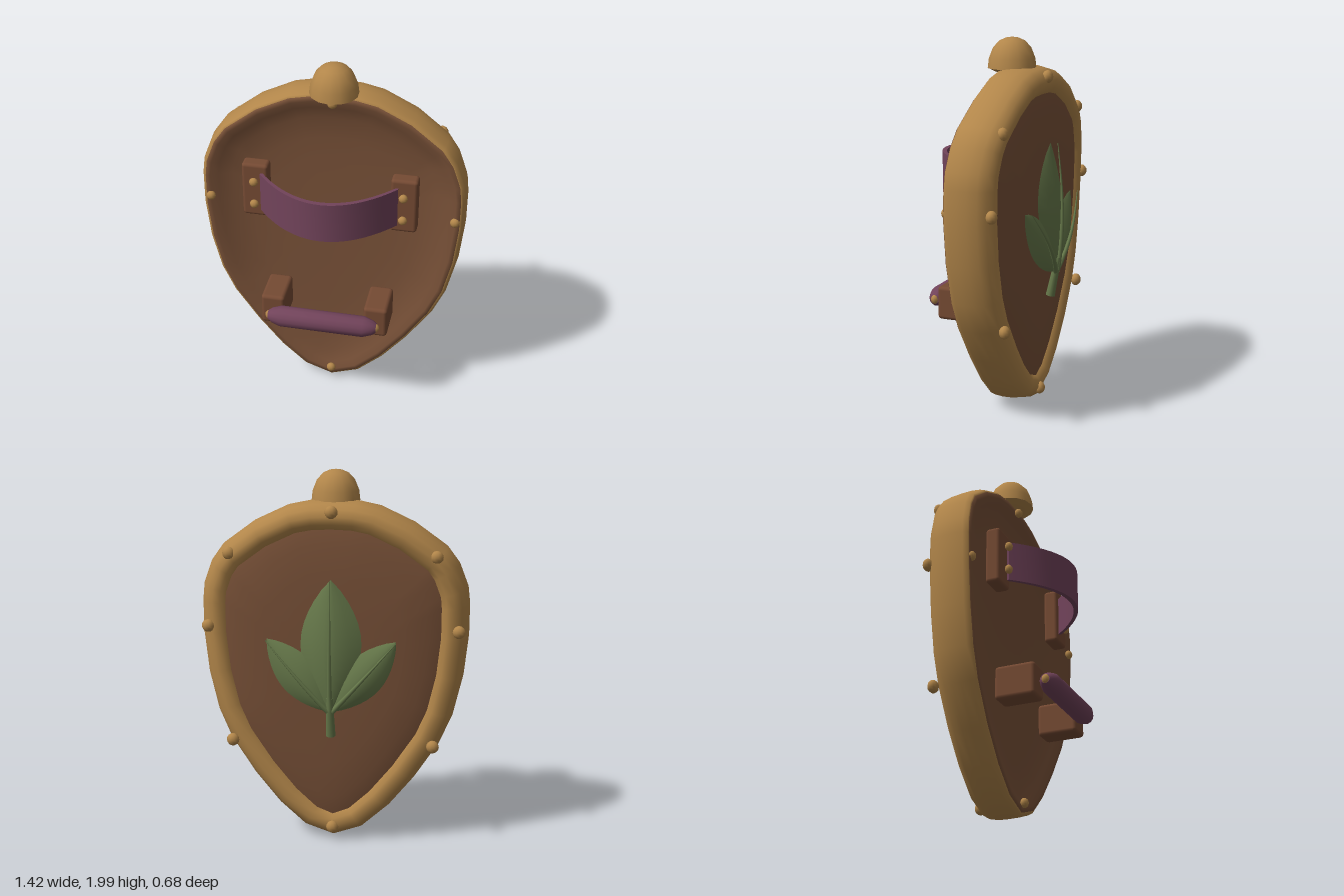
import * as THREE from 'three';
import { toCreasedNormals } from 'three/addons/utils/BufferGeometryUtils.js';
import { RoundedBoxGeometry } from 'three/addons/geometries/RoundedBoxGeometry.js';

const material = (name, color, side = THREE.FrontSide) =>
  Object.assign(new THREE.MeshStandardMaterial({ color, side }), { name });

// Surface through a list of rings (or open rows) of points
function loft(rings, closed = true) {
  const n = rings[0].length, index = [];
  for (let i = 0; i < rings.length - 1; i++) {
    for (let j = 0; j < (closed ? n : n - 1); j++) {
      const k = (j + 1) % n;
      const a = i * n + j, b = i * n + k, c = a + n, d = b + n;
      index.push(a, b, d, a, d, c);
    }
  }
  const geo = new THREE.BufferGeometry();
  geo.setAttribute('position', new THREE.Float32BufferAttribute(rings.flat(2), 3));
  geo.setIndex(index);
  geo.computeVertexNormals();
  return geo;
}

// Shield outline, counter-clockwise from the bottom tip
const half = [
  [0.16, 0.065], [0.3, 0.19], [0.435, 0.355], [0.565, 0.55], [0.635, 0.71], [0.685, 0.92],
  [0.709, 1.14], [0.71, 1.31], [0.7, 1.4], [0.655, 1.52], [0.59, 1.61], [0.42, 1.735],
  [0.24, 1.82], [0.12, 1.845],
];
const outline = [[0, 0.01], ...half, [0, 1.85], ...half.map(([x, y]) => [-x, y]).reverse()];

// The whole shield curves gently forward at the sides and the tip
const bend = (x, y) => 0.16 * x ** 4 + 0.02 * (1 - y);

// Outline moved inwards, then scaled about the centre
function ring(inset, z, scale = 1) {
  const n = outline.length;
  return outline.map(([px, py], i) => {
    const [ax, ay] = outline[(i + n - 1) % n], [bx, by] = outline[(i + 1) % n];
    const len = Math.hypot(bx - ax, by - ay);
    const x = (px - inset * (by - ay) / len) * scale;
    const y = 1 + (py + inset * (bx - ax) / len - 1) * scale;
    return [x, y, z + bend(x, y)];
  });
}

export function createModel() {
  const model = new THREE.Group();
  const gold = material('gold', 0xb2864a);
  const wood = material('wood', 0x775037);
  const leather = material('leather', 0x754a33);
  const purple = material('purple cloth', 0x71435a);
  const green = material('leaf green', 0x66784a, THREE.DoubleSide);

  const add = (name, geo, mat, x = 0, y = 0, z = 0, parent = model) => {
    const mesh = new THREE.Mesh(geo, mat);
    mesh.name = name;
    mesh.position.set(x, y, z);
    parent.add(mesh);
    return mesh;
  };

  // Rounded rim, from its inner back edge round to the front lip
  const rimProfile = [
    [0.16, -0.17], [0.148, -0.2], [0.115, -0.228], [0.075, -0.235], [0.038, -0.216],
    [0.014, -0.18], [0.002, -0.13], [0, -0.08], [0.005, -0.03], [0.014, -0.003], [0.026, 0.001],
  ];
  add('rim', loft(rimProfile.map(([inset, z]) => ring(inset, z))), gold);

  // Dished front and bulging back of the board
  add('frontBoard', loft([
    ring(0.022, -0.01), ring(0.027, 0.008), ring(0.05, 0.008), ring(0.09, -0.008), ring(0.16, -0.035),
    ring(0.16, -0.048, 0.82), ring(0.16, -0.053, 0.6), ring(0.16, -0.055, 0.3), ring(0.16, -0.055, 0.001),
  ]), wood);
  add('backBoard', loft([
    ring(0.14, -0.242, 0.001), ring(0.14, -0.241, 0.35), ring(0.14, -0.237, 0.65),
    ring(0.14, -0.225, 0.88), ring(0.14, -0.205),
  ]), wood);

  // Domed finial on top
  const dome = [[0, 1.815], [0.09, 1.82], [0.128, 1.838], [0.122, 1.89],
    [0.1, 1.945], [0.068, 1.98], [0.035, 1.995], [0, 2]].map(([r, y]) => new THREE.Vector2(r, y));
  add('finial', toCreasedNormals(new THREE.LatheGeometry(dome, 14), 0.9), gold, 0, 0, -0.045);

  // Studs round the rim, on both faces
  const studGeo = new THREE.SphereGeometry(1, 10, 8);
  const stud = (x, y, z, r) => add('stud', studGeo, gold, x, y, z).scale.set(r, r, r * 0.85);
  stud(0, 1.8, -0.245, 0.034);
  stud(0, 0.085, -0.212, 0.034);
  stud(0, 1.8, 0.004, 0.026);
  stud(0, 0.085, 0.036, 0.026);

  for (const s of [-1, 1]) {
    for (const [x, y, z] of [[0.54, 1.575, -0.218], [0.66, 1.185, -0.209], [0.535, 0.565, -0.226]])
      stud(s * x, y, z, 0.034);
    stud(s * 0.66, 1.185, 0.036, 0.026);

    // Arm strap plates and grip blocks
    add('strapPlate', new RoundedBoxGeometry(0.142, 0.315, 0.08, 2, 0.018), leather, s * 0.396, 1.288, 0.058);
    for (const y of [1.22, 1.355]) stud(s * 0.396, y, 0.122, 0.024);
    add('gripBlock', new RoundedBoxGeometry(0.13, 0.18, 0.22, 2, 0.02), leather, s * 0.283, 0.615, 0.13);
    stud(s * 0.288, 0.615, 0.28, 0.027);
  }

  // Bowed arm strap
  const arc = (lift) => Array.from({ length: 21 }, (_, i) => {
    const t = i / 10 - 1;
    return new THREE.Vector2(0.365 * t, -(0.082 + lift + 0.222 * (1 - t * t)));
  });
  const strapShape = new THREE.Shape([...arc(0.026), ...arc(0).reverse()]);
  const strapGeo = new THREE.ExtrudeGeometry(strapShape, { depth: 0.222, bevelEnabled: false });
  strapGeo.rotateX(-Math.PI / 2);
  add('armStrap', toCreasedNormals(strapGeo, 0.6), purple, 0, 1.177, 0);

  // Hand grip
  const gripProfile = [[0, -0.3], [0.025, -0.298], [0.04, -0.278], [0.057, -0.228],
    [0.057, 0.228], [0.04, 0.278], [0.025, 0.298], [0, 0.3]].map(([r, y]) => new THREE.Vector2(r, y));
  const gripGeo = toCreasedNormals(new THREE.LatheGeometry(gripProfile, 14), 0.7);
  gripGeo.rotateZ(Math.PI / 2);
  add('handGrip', gripGeo, purple, 0, 0.615, 0.28);

  // Leaf sprig on the back
  const sprig = new THREE.Group();
  sprig.name = 'leafSprig';
  model.add(sprig);
  const crest = (u) => -0.25 - 0.065 * Math.sin(Math.PI * (0.25 + 0.72 * u));

  function leaf(name, x0, y0, x1, y1, width, back) {
    const dx = x1 - x0, dy = y1 - y0, len = Math.hypot(dx, dy);
    const rows = [];
    for (let i = 0; i <= 12; i++) {
      const u = i / 12, w = width * Math.sin(Math.PI * u) ** 0.85;
      rows.push([-1, -0.6, -0.2, 0, 0.2, 0.6, 1].map((v) => [
        x0 + dx * u + dy / len * w * v,
        y0 + dy * u - dx / len * w * v,
        crest(u) - back + 0.38 * w * v * v,
      ]));
    }
    add(name, loft(rows, false), green, 0, 0, 0, sprig);

    // Tapered midrib, standing clear of the drooping tip
    const rib = [];
    for (let i = 0; i <= 8; i++) {
      const u = i / 8, r = 0.013 * (1 - u) + 0.002;
      rib.push([0, 1, 2, 3, 4, 5].map((k) => {
        const a = k * Math.PI / 3;
        return [x0 + dx * u + dy / len * r * Math.cos(a), y0 + dy * u - dx / len * r * Math.cos(a),
          crest(u) - back - 0.006 - 0.035 * u * u + r * Math.sin(a)];
      }));
    }
    add(name + 'Rib', loft(rib), green, 0, 0, 0, sprig);
  }
  leaf('centreLeaf', 0, 0.77, 0, 1.455, 0.16, 0.008);
  leaf('leftLeaf', 0.01, 0.76, 0.34, 1.135, 0.105, 0);
  leaf('rightLeaf', -0.01, 0.76, -0.34, 1.135, 0.105, 0);

  // Stem
  const stemGeo = new THREE.CylinderGeometry(0.017, 0.026, 0.22, 8);
  stemGeo.rotateX(-0.2);
  add('stem', stemGeo, green, 0, 0.73, -0.292, sprig);

  return model;
}
